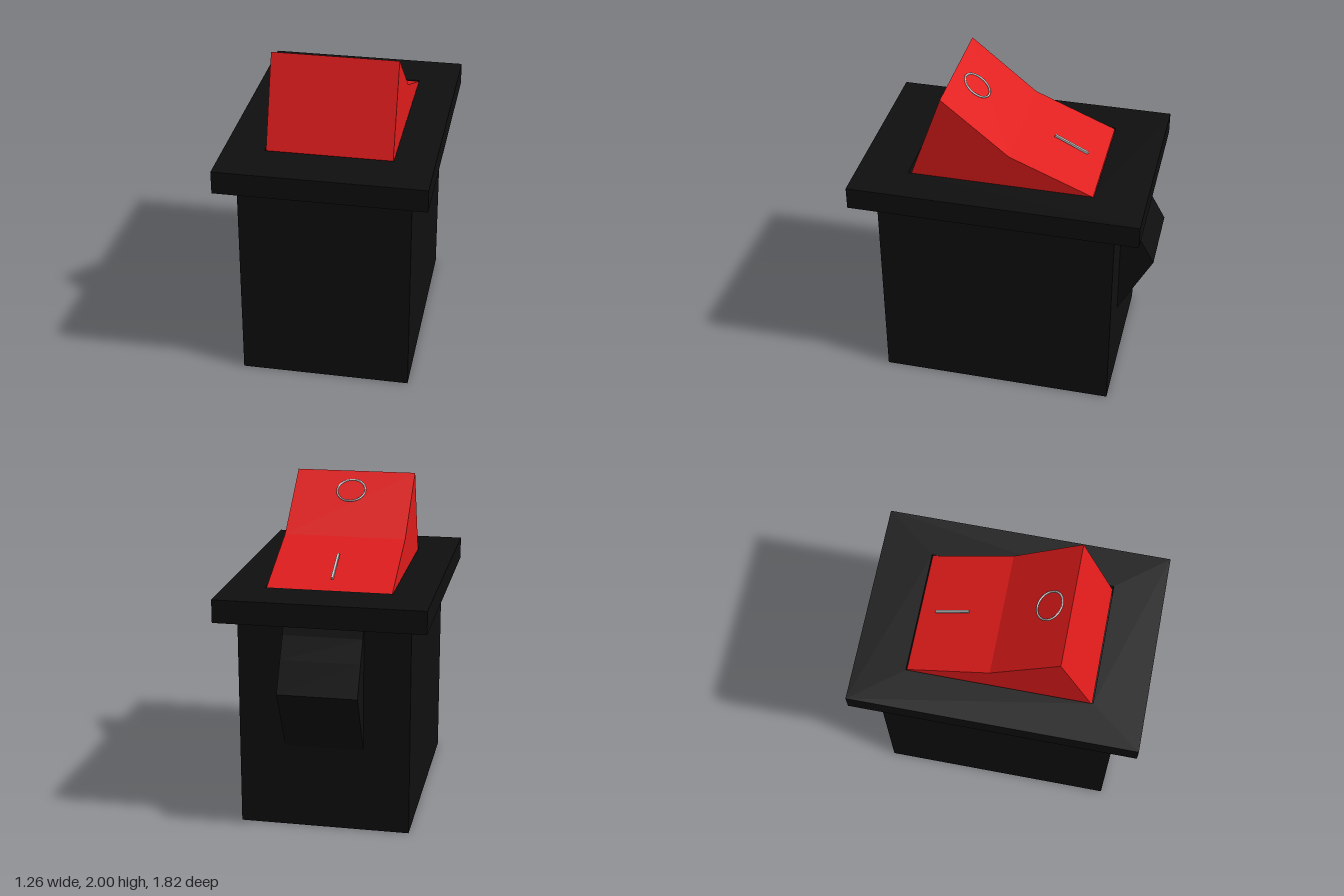
import * as THREE from 'three';

const black = new THREE.MeshStandardMaterial({ color: 0x0f0f0f });
const red = new THREE.MeshStandardMaterial({ color: 0xe01b1b });
const grey = new THREE.MeshStandardMaterial({ color: 0xcccccc });

function add(group, name, geometry, material) {
  const mesh = new THREE.Mesh(geometry, material);
  mesh.name = name;
  group.add(mesh);
  return mesh;
}

// Side profile given as [z, y] points, extruded across x and centred
function sideExtrude(points, width) {
  const shape = new THREE.Shape(points.map(([z, y]) => new THREE.Vector2(z, y)));
  return new THREE.ExtrudeGeometry(shape, { depth: width, bevelEnabled: false })
    .translate(0, 0, -width / 2)
    .rotateY(-Math.PI / 2);
}

// Closed rectangle outline in [x, z]
function rectangle(Type, x, z0, z1) {
  return new Type([[-x, z0], [x, z0], [x, z1], [-x, z1]].map(([a, b]) => new THREE.Vector2(a, b)));
}

export function createModel() {
  const group = new THREE.Group();
  group.name = 'rockerSwitch';

  // Housing
  add(group, 'housing', new THREE.BoxGeometry(1.04, 1.32, 1.46), black).position.set(0, 0.66, 0.03);

  // Flange with the rocker opening
  const frame = rectangle(THREE.Shape, 0.63, -0.86, 0.91);
  frame.holes.push(rectangle(THREE.Path, 0.385, -0.545, 0.595));
  const flange = new THREE.ExtrudeGeometry(frame, { depth: 0.14, bevelEnabled: false }).rotateX(Math.PI / 2);
  add(group, 'flange', flange, black).position.y = 1.46;

  // Snap-in clip on the back
  add(group, 'clip', sideExtrude([
    [-0.69, 0.52], [-0.7, 0.52], [-0.91, 0.92], [-0.81, 1.1], [-0.735, 1.23], [-0.7, 1.32], [-0.69, 1.32],
  ], 0.48), black);

  // Rocker, bent in the middle and raised at the front
  add(group, 'rocker', sideExtrude([
    [0.59, 1.33], [0.59, 1.42], [0.38, 2], [-0.03, 1.665], [-0.54, 1.455], [-0.54, 1.33],
  ], 0.76), red);

  // Off mark: thin ring on the raised half
  const ring = add(group, 'offMark', new THREE.TorusGeometry(0.09, 0.006, 8, 40), grey);
  ring.position.set(0.01, 1.9, 0.25);
  ring.rotation.x = -Math.PI / 2 + 0.63;
  ring.rotation.x = -Math.PI / 2 - 0.63;

  // On mark: thin bar on the lower half
  const bar = add(group, 'onMark', new THREE.BoxGeometry(0.014, 0.014, 0.23), grey);
  bar.position.set(0, 1.555, -0.335);
  bar.rotation.x = -0.45;

  return group;
}
